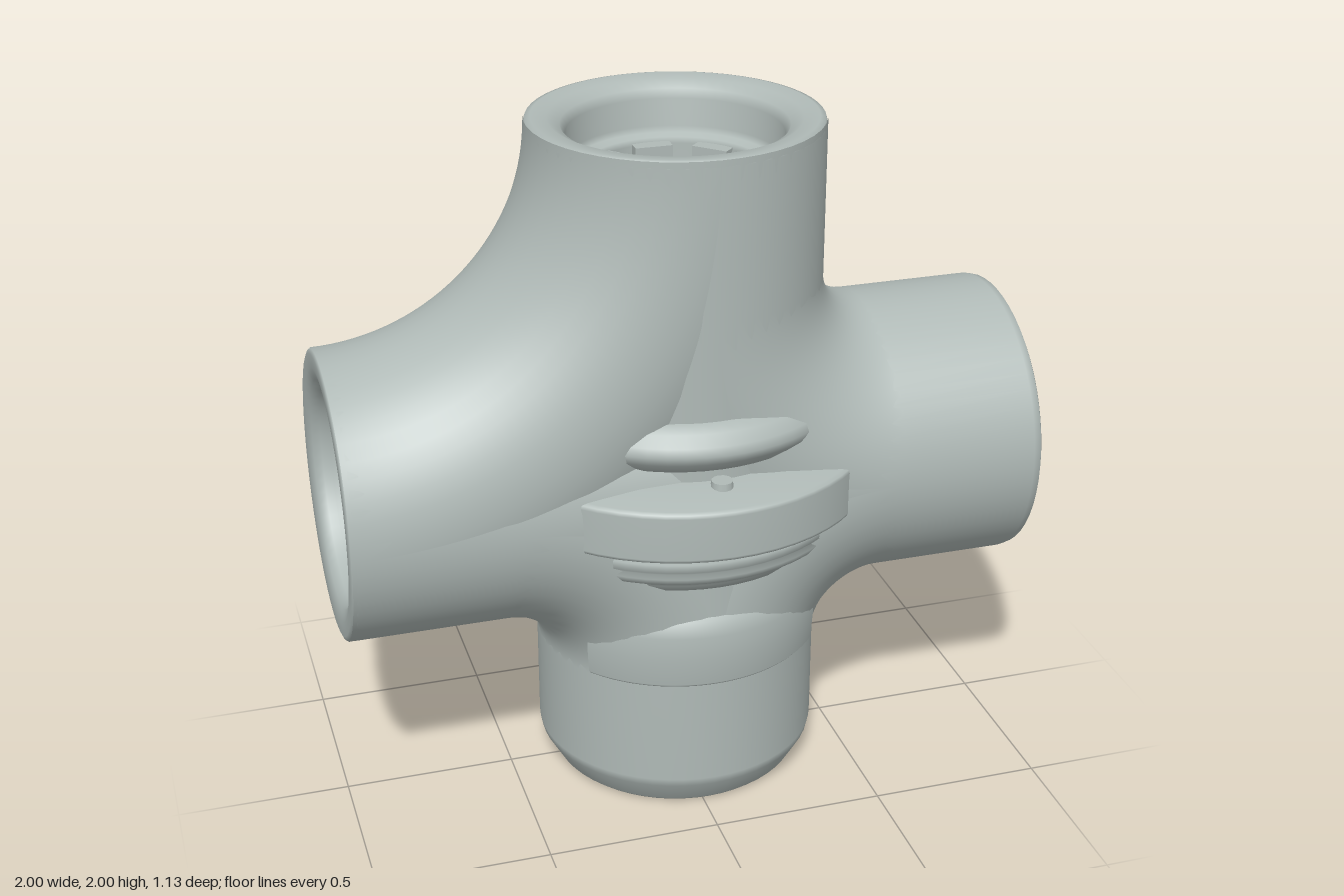
import * as THREE from 'three';

const AXIS_Y = 0.985; // height of the horizontal pipe
const AXIS_X = 0.02;  // offset of the vertical pipe
const R = 0.415;      // outer pipe radius

export function createModel() {
  const group = new THREE.Group();
  const grey = new THREE.MeshStandardMaterial({ color: 0xb0bab7 });
  grey.name = 'pale grey';

  const add = (name, geometry, parent = group) => {
    const mesh = new THREE.Mesh(geometry, grey);
    mesh.name = name;
    parent.add(mesh);
    return mesh;
  };
  const lathe = (points, start = 0, sweep = Math.PI * 2) =>
    new THREE.LatheGeometry(points.map(p => new THREE.Vector2(...p)), 56, start, sweep);

  // Pipe arms: outer wall, rounded lip, then the bore going back in
  const arm = (name, end, x, rotX, rotZ, rim) => {
    const profile = [[R, 0], [R, end * 0.5], ...rim.map(([r, d]) => [r, end - d])];
    const mesh = add(name, lathe(profile));
    mesh.position.set(x, AXIS_Y, 0);
    mesh.rotation.set(rotX, 0, rotZ);
  };
  arm('rightArm', 1, 0, 0, Math.PI / 2, [
    [R, 0.02], [0.412, 0.005], [0.4, 0], [0.36, 0.002], [0.325, 0.012],
    [0.312, 0.035], [0.31, 0.06], [0.31, 0.62]]);
  arm('leftArm', 1, 0, 0, -Math.PI / 2, [
    [R, 0.03], [0.41, 0.008], [0.395, 0], [0.36, 0.004], [0.325, 0.015],
    [0.312, 0.04], [0.31, 0.07], [0.31, 0.62]]);
  arm('topArm', 2 - AXIS_Y, AXIS_X, 0, 0, [
    [R, 0.02], [0.41, 0.004], [0.395, 0], [0.35, 0.006], [0.315, 0.025],
    [0.3, 0.05], [0.298, 0.13], [0.285, 0.145], [0.255, 0.15], [0.245, 0.165],
    [0.245, 0.48], [0.2, 0.53], [0.1, 0.56], [0, 0.57]]);
  arm('bottomArm', AXIS_Y, AXIS_X, Math.PI, 0, [
    [R, 0.11], [0.41, 0.085], [0.37, 0.015], [0.355, 0.002], [0.335, 0.004],
    [0.318, 0.03], [0.312, 0.07], [0.31, 0.4], [0.27, 0.47], [0.15, 0.53], [0, 0.55]]);

  // Curved bends: a quarter torus tangent to two arms
  const bend = (name, radius, sx, sy, cx, cy) => {
    const turn = { '1,1': Math.PI, '-1,1': -Math.PI / 2, '-1,-1': 0, '1,-1': Math.PI / 2 }[`${sx},${sy}`];
    const geometry = new THREE.TorusGeometry(radius, R, 48, 32, Math.PI / 2);
    geometry.rotateZ(turn);
    add(name, geometry).position.set(cx, cy, 0);
  };
  bend('sweepElbow', 1.015, -1, 1, -1 + 0.005, 2);
  const f = 0.56;
  for (const [name, sx, sy] of [['upperFillet', 1, 1], ['lowerLeftFillet', 1, -1], ['lowerRightFillet', -1, -1]]) {
    bend(name, f, sx, sy, AXIS_X + sx * f, AXIS_Y + sy * f);
  }

  // Collar rings stacked around the vertical axis
  const rings = new THREE.Group();
  rings.name = 'collar';
  rings.position.x = AXIS_X;
  group.add(rings);
  add('flange', lathe([
    [0.38, 0.908], [0.55, 0.912], [0.562, 0.916], [0.565, 0.925], [0.565, 1.05],
    [0.562, 1.06], [0.55, 1.065], [0.46, 1.083], [0.38, 1.088]]), rings);
  add('upperRing', lathe([
    [0.4, 1.11], [0.44, 1.13], [0.475, 1.165], [0.482, 1.19], [0.475, 1.215],
    [0.45, 1.245], [0.42, 1.262], [0.39, 1.265]]), rings);
  add('lowerRing', lathe([
    [0.39, 0.75], [0.44, 0.762], [0.458, 0.785], [0.465, 0.8], [0.49, 0.808],
    [0.503, 0.83], [0.495, 0.843], [0.51, 0.855], [0.512, 0.88], [0.5, 0.893], [0.38, 0.897]]), rings);

  // Shallow skirt, front and back only
  for (const [name, mid] of [['frontSkirt', 0], ['backSkirt', Math.PI]]) {
    add(name, lathe([
      [0.4, 0.436], [0.425, 0.438], [0.432, 0.446], [0.438, 0.53], [0.437, 0.6],
      [0.425, 0.645], [0.4, 0.665]], mid - 0.9, 1.8), rings);
  }

  // Small nubs on top of the flange, one on each side
  for (let i = 0; i < 4; i++) {
    const a = i * Math.PI / 2;
    const nub = add('nub', new THREE.CylinderGeometry(0.03, 0.035, 0.04, 12), rings);
    nub.position.set(Math.sin(a) * 0.445, 1.08, Math.cos(a) * 0.445);
  }

  // Teeth lining the top bore
  const teeth = new THREE.Group();
  teeth.name = 'boreTeeth';
  teeth.position.x = AXIS_X;
  group.add(teeth);
  for (let i = 0; i < 8; i++) {
    const a = i * Math.PI / 4;
    const tooth = add('tooth', new THREE.BoxGeometry(0.11, 0.34, 0.05), teeth);
    tooth.position.set(Math.sin(a) * 0.228, 1.67, Math.cos(a) * 0.228);
    tooth.rotation.y = a;
  }

  return group;
}
